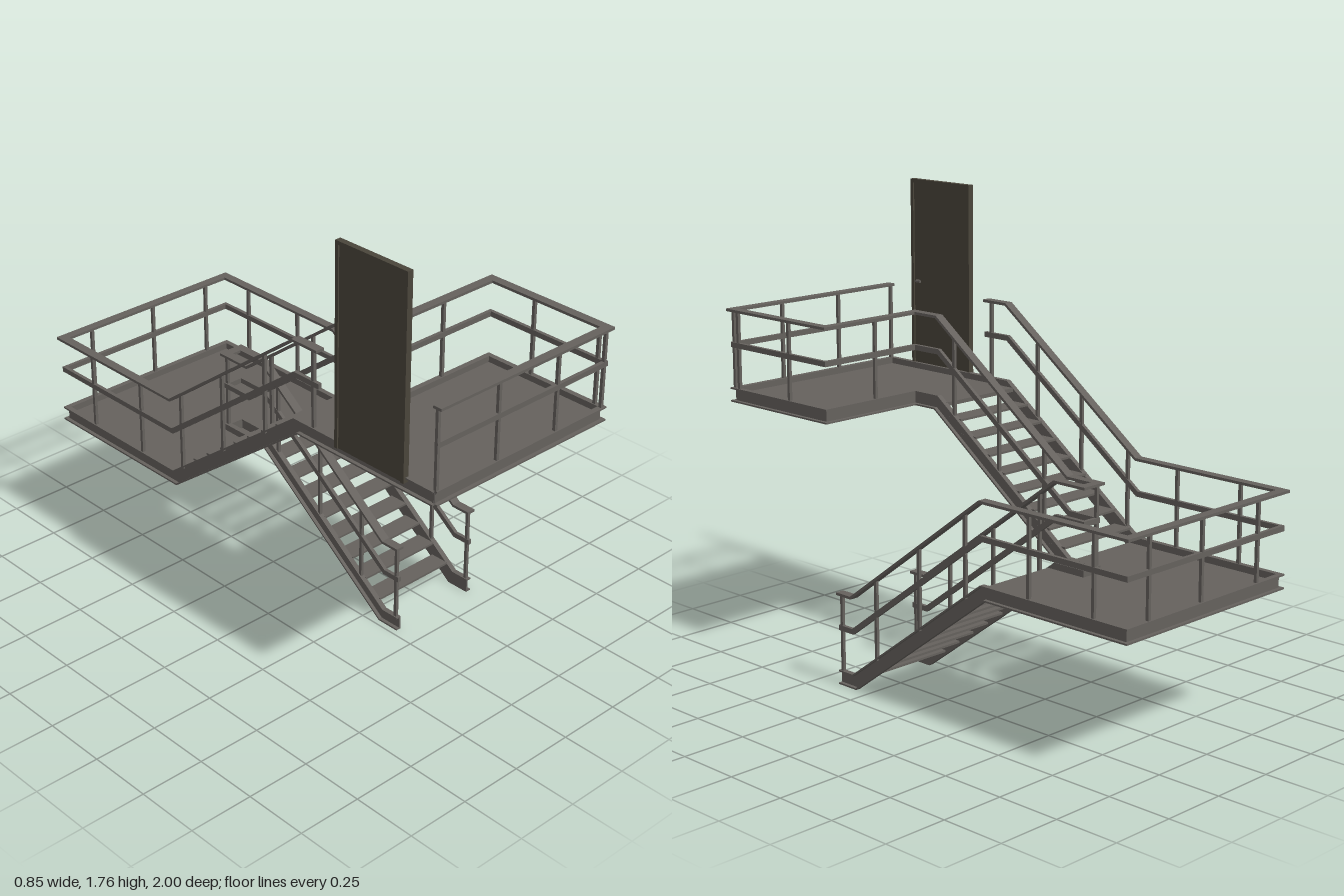
import * as THREE from 'three';

const UP = new THREE.Vector3(0, 1, 0);
const V = (x, y, z) => new THREE.Vector3(x, y, z);
const rect = (u, v0, v1) => [[-u, v0], [u, v0], [u, v1], [-u, v1]];

// Sweep a counter-clockwise (sideways, upward) profile along a path with mitred corners.
function sweep(path, profile) {
  const segs = path.slice(1).map((p, i) => {
    const dir = p.clone().sub(path[i]).normalize();
    const side = dir.clone().cross(UP).normalize();
    return { side, up: side.clone().cross(dir) };
  });
  const mitre = (a, b) => a.clone().add(b).divideScalar(1 + a.dot(b));
  const pos = [], index = [], n = profile.length;
  path.forEach((p, i) => {
    const a = segs[Math.max(i - 1, 0)], b = segs[Math.min(i, segs.length - 1)];
    const side = mitre(a.side, b.side), up = mitre(a.up, b.up);
    for (const [u, v] of profile) {
      pos.push(...p.clone().addScaledVector(side, u).addScaledVector(up, v).toArray());
    }
  });
  for (let i = 0; i < path.length - 1; i++) {
    for (let j = 0; j < n; j++) {
      const a = i * n + j, b = i * n + (j + 1) % n;
      index.push(a, b + n, b, a, a + n, b + n);
    }
  }
  const last = (path.length - 1) * n;
  const caps = THREE.ShapeUtils.triangulateShape(profile.map(([u, v]) => new THREE.Vector2(u, v)), []);
  for (const [a, b, c] of caps) index.push(a, b, c, last + a, last + c, last + b);
  const geo = new THREE.BufferGeometry();
  geo.setAttribute('position', new THREE.Float32BufferAttribute(pos, 3));
  geo.setIndex(index);
  const flat = geo.toNonIndexed();
  flat.computeVertexNormals();
  return flat;
}

export function createModel() {
  const model = new THREE.Group();
  model.name = 'switchbackStaircase';
  const steel = new THREE.MeshStandardMaterial({ color: 0x65615d });
  steel.name = 'dark grey steel';
  const doorPaint = new THREE.MeshStandardMaterial({ color: 0x4a453b });
  doorPaint.name = 'dark brown door';

  const add = (name, geo, mat = steel) => {
    const mesh = new THREE.Mesh(geo, mat);
    mesh.name = name;
    model.add(mesh);
    return mesh;
  };
  const box = (name, x0, x1, y0, y1, z0, z1, mat) =>
    add(name, new THREE.BoxGeometry(x1 - x0, y1 - y0, z1 - z0), mat)
      .position.set((x0 + x1) / 2, (y0 + y1) / 2, (z0 + z1) / 2);

  // Main levels (top of the edge channels) and centre lines
  const Y0 = 0.065, Y1 = 0.555, Y2 = 1.045, K = 0.33;
  const XO = 0.406, XI = 0.0335, ZO = 0.982, ZI = 0.459;
  const rise = (z) => (Y1 - Y0) * THREE.MathUtils.clamp((z + K) / (2 * K), 0, 1);
  const lowerY = (z) => Y1 - rise(z);
  const upperY = (z) => Y1 + rise(z);

  // Outer run climbs both flights; inner run wraps the upper landing and the stairwell
  const outer = [
    V(XO, Y0, 0.405), V(XO, Y0, K), V(XO, Y1, -K), V(XO, Y1, -ZO),
    V(-XO, Y1, -ZO), V(-XO, Y1, -K), V(-XO, Y2, K),
  ];
  const inner = [
    V(-XO, Y2, ZO), V(XO, Y2, ZO), V(XO, Y2, ZI), V(-XI - 0.004, Y2, ZI),
    V(-XI - 0.004, Y2, K), V(-XI - 0.004, Y1, -K), V(-XI - 0.004, Y1, -ZI), V(XI, Y1, -ZI),
    V(XI, Y1, -K), V(XI, Y0, K), V(XI, Y0, 0.405),
  ];

  // Edge channels with outward flanges
  const H = -0.055, T = 0.006;
  const channel = [
    [-0.01, H], [0.011, H], [0.011, H + T], [-0.003, H + T],
    [-0.003, -T], [0.011, -T], [0.011, 0], [-0.01, 0],
  ];
  add('outerStringer', sweep([...outer, V(-XO, Y2, ZO)], channel));
  add('innerStringer', sweep(inner, channel));

  // Handrails and mid rails
  const runs = { outer: [...outer, V(-XO, Y2, 0.45)], inner };
  for (const [name, path] of Object.entries(runs)) {
    const raised = (h) => path.map((p) => p.clone().setY(p.y + h));
    add(name + 'Handrail', sweep(raised(0.302), rect(0.0175, -0.01, 0)));
    add(name + 'MidRail', sweep(raised(0.165), rect(0.007, -0.01, 0.01)));
  }

  // Posts
  const post = (x, y, z) => box('post', x - 0.006, x + 0.006, y - 0.008, y + 0.296, z - 0.006, z + 0.006);
  for (const z of [0.39, 0.205, -0.02, -0.25]) {
    post(XO, lowerY(z), z);
    post(XI, lowerY(z), z);
  }
  for (const z of [-0.55, -0.84]) post(XO, Y1, z);
  for (const x of [-0.27, 0.03, 0.3]) post(x, Y1, -ZO);
  for (const z of [-0.8, -0.515, -0.28, -0.05, 0.175, 0.42]) post(-XO, upperY(z), z);
  for (const z of [-0.205, 0.02, 0.25]) post(-XI - 0.004, upperY(z), z);
  post(-XI, Y1, -ZI);
  for (const x of [-0.4, -0.12, 0.165, 0.4]) post(x, Y2, ZO);
  for (const z of [0.95, 0.66]) post(XO, Y2, z);
  post(0.165, Y2, ZI);

  // Landing plates
  const E = 0.398, G = 0.042;
  const plate = (name, y, boxes) => {
    for (const [x0, x1, z0, z1] of boxes) box(name, x0, x1, y - 0.015, y, z0, z1);
  };
  plate('middleLanding', 0.53, [
    [-E, E, -0.975, -0.467], [-E, -G, -0.467, -0.3], [G, E, -0.467, -0.3],
  ]);
  plate('upperLanding', 1.022, [[-E, E, 0.467, 0.975], [-E, -G, 0.295, 0.467]]);

  // Open treads
  const going = 0.0748, step = 0.0547;
  for (let i = 0; i < 8; i++) {
    const yl = 0.093 + i * step, zl = 0.3 - i * going;
    box('lowerTread', G - 0.002, E, yl - 0.008, yl, zl - going - 0.003, zl);
    const yu = 0.588 + i * step, zu = -0.305 + i * going;
    box('upperTread', -E, -G + 0.002, yu - 0.008, yu, zu, zu + going + 0.003);
  }

  // Door: leaf, frame and lever handles
  const zA = 0.54, zB = 0.862, yA = 1.025, yB = 1.775, F = 0.014;
  box('doorLeaf', -0.421, -0.409, yA, yB - F, zA + F, zB - F, doorPaint);
  for (const z of [zA, zB - F]) box('doorFrameSide', -0.426, -0.403, yA, yB, z, z + F, doorPaint);
  box('doorFrameTop', -0.426, -0.403, yB - F, yB, zA + F, zB - F, doorPaint);
  box('handleStem', -0.409, -0.39, 1.37, 1.378, 0.823, 0.831);
  box('handleLever', -0.395, -0.389, 1.37, 1.378, 0.8, 0.831);

  return model;
}
